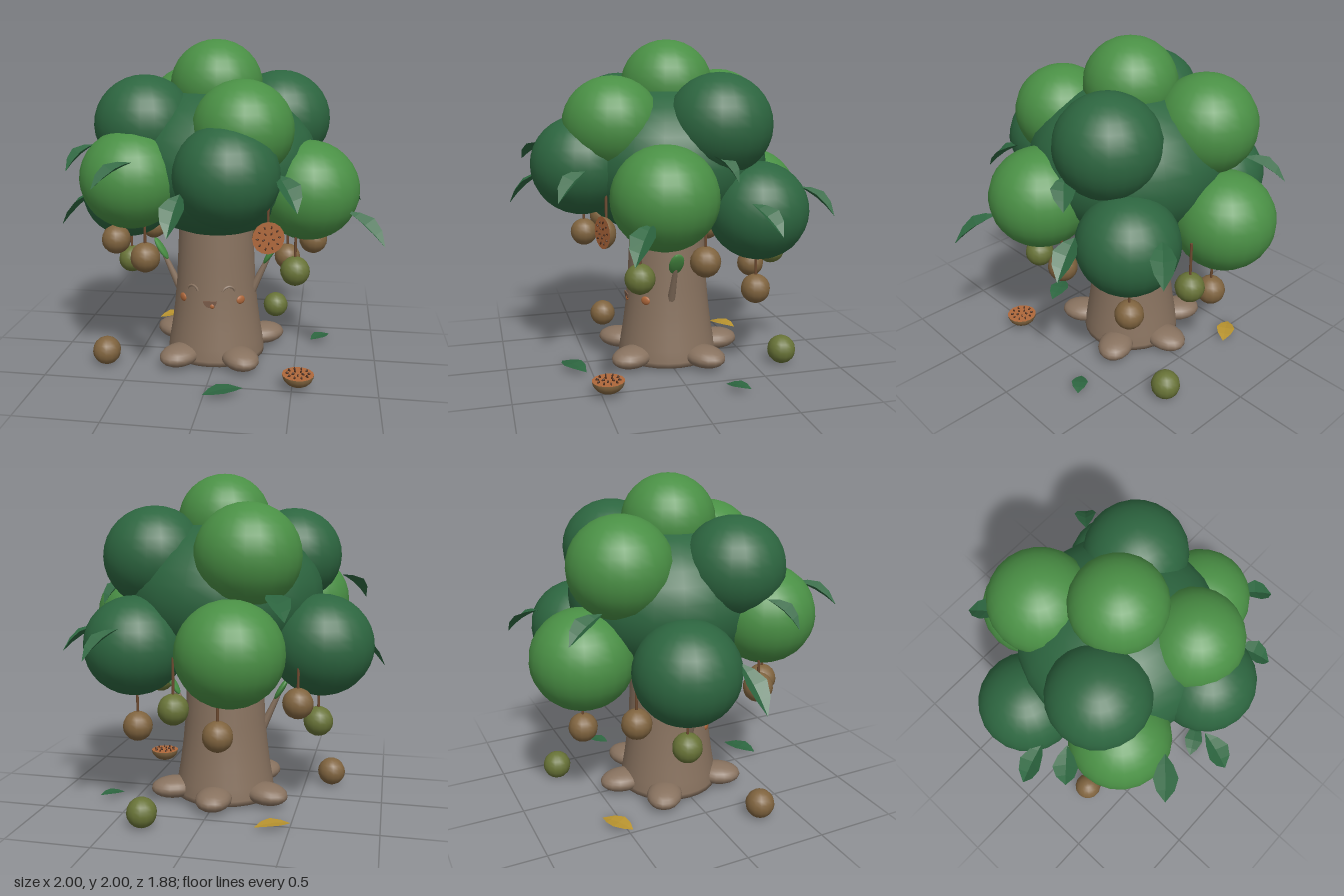
import * as THREE from 'three';

const mat = (name, color, side = THREE.FrontSide) => {
  const m = new THREE.MeshStandardMaterial({ color, side });
  m.name = name;
  return m;
};
const V = (a) => new THREE.Vector3(...a);

export function createModel() {
  const root = new THREE.Group();
  root.name = 'fruitTree';

  const M = {
    dark: mat('darkFoliage', 0x2d6640, THREE.DoubleSide),
    light: mat('lightFoliage', 0x4a9045),
    bark: mat('bark', 0x88725f),
    brown: mat('brownShell', 0x80643f),
    olive: mat('oliveShell', 0x687337),
    flesh: mat('orangeFlesh', 0xaf683b),
    seed: mat('seed', 0x4d2c1a),
    stem: mat('stem', 0x6d4a30),
    yellow: mat('yellowLeaf', 0xb8932f, THREE.DoubleSide),
    mouth: mat('mouth', 0x7a5b49),
  };

  const add = (parent, name, geo, material, pos = [0, 0, 0]) => {
    const mesh = new THREE.Mesh(geo, material);
    mesh.name = name;
    mesh.position.set(...pos);
    parent.add(mesh);
    return mesh;
  };

  // Cylinder running from a to b
  const rod = (parent, name, a, b, r0, r1, material) => {
    const d = V(b).sub(V(a));
    const mesh = add(parent, name, new THREE.CylinderGeometry(r1, r0, d.length(), 8), material,
      V(a).addScaledVector(d, 0.5).toArray());
    mesh.quaternion.setFromUnitVectors(new THREE.Vector3(0, 1, 0), d.normalize());
    return mesh;
  };

  // Trunk
  const cx = -0.02, cz = -0.025;
  const profile = [[0, 0.02], [0.31, 0.02], [0.31, 0.05], [0.3, 0.12], [0.283, 0.22], [0.266, 0.35],
    [0.252, 0.5], [0.242, 0.7], [0.232, 0.92]].map(([r, y]) => new THREE.Vector2(r, y));
  add(root, 'trunk', new THREE.LatheGeometry(profile, 28), M.bark, [cx, 0, cz]);

  // Rounded roots
  for (const deg of [56, 124, 210, 270, 330]) {
    const a = THREE.MathUtils.degToRad(deg);
    const r = add(root, 'rootBump', new THREE.SphereGeometry(1, 16, 12), M.bark,
      [cx + 0.335 * Math.cos(a), 0.075, cz + 0.325 * Math.sin(a)]);
    r.scale.set(0.145, 0.065, 0.11);
    r.rotation.y = -a;
  }

  // Face
  const face = new THREE.Group();
  face.name = 'face';
  root.add(face);
  for (const s of [-1, 1]) {
    const eye = add(face, 'smilingEye', new THREE.TorusGeometry(0.042, 0.008, 6, 14, Math.PI * 0.8),
      M.bark, [cx + s * 0.112, 0.48, 0.207]);
    eye.rotation.set(0, s * 0.45, Math.PI * 0.1);
    const cheek = add(face, 'cheek', new THREE.SphereGeometry(1, 14, 10), M.flesh,
      [cx + s * 0.18, 0.425, 0.158]);
    cheek.scale.set(0.032, 0.027, 0.012);
    cheek.rotation.y = s * 0.78;
  }
  const smile = new THREE.Shape();
  smile.moveTo(0.042, 0);
  smile.absellipse(0, 0, 0.042, 0.042, 0, Math.PI, true);
  smile.closePath();
  add(face, 'mouth', new THREE.ExtrudeGeometry(smile, { depth: 0.008, bevelEnabled: false }),
    M.mouth, [cx, 0.433, 0.235]);
  add(face, 'tongue', new THREE.SphereGeometry(0.016, 10, 8), M.flesh, [-0.006, 0.402, 0.238])
    .scale.z = 0.6;

  // Branch arms, each tipped with a flat sprout
  for (const s of [-1, 1]) {
    const arm = new THREE.Group();
    arm.name = 'branchArm';
    root.add(arm);
    rod(arm, 'branch', [cx + s * 0.235, 0.44, 0.01], [cx + s * 0.335, 0.66, 0.01], 0.026, 0.014, M.bark);
    const sprout = add(arm, 'sprout', new THREE.SphereGeometry(1, 12, 10), M.light,
      [cx + s * 0.35, 0.69, 0.01]);
    sprout.scale.set(0.018, 0.082, 0.046);
    sprout.rotation.z = -s * 0.55;
  }

  // Canopy: [x, y, z, radius, colour]
  const canopy = new THREE.Group();
  canopy.name = 'canopy';
  root.add(canopy);
  const blob = new THREE.SphereGeometry(1, 22, 16);
  add(canopy, 'canopyCore', blob, M.dark, [-0.01, 1.28, -0.02]).scale.set(0.61, 0.47, 0.61);
  [
    [-0.015, 1.73, -0.02, 0.28, 'light'],
    [-0.235, 1.53, -0.42, 0.305, 'light'],
    [0.36, 1.51, -0.235, 0.31, 'dark'],
    [0.19, 1.51, 0.36, 0.29, 'light'],
    [-0.41, 1.51, 0.2, 0.3, 'dark'],
    [-0.63, 1.01, -0.2, 0.305, 'dark'],
    [-0.45, 1.22, 0.39, 0.3, 'light'],
    [0.12, 1.275, 0.53, 0.3, 'dark'],
    [0.555, 1.13, 0.14, 0.305, 'light'],
    [0.42, 1.01, -0.46, 0.298, 'dark'],
    [-0.18, 1.01, -0.64, 0.305, 'light'],
  ].forEach(([x, y, z, r, c]) =>
    add(canopy, 'foliageClump', blob, M[c], [x, y, z]).scale.set(r, r * 0.97, r));

  // Folded leaf from base to tip, spine along the line, edges raised
  const leaf = (name, base, tip, width, material, up = [0, 1, 0], fold = 0.25) => {
    const a = V(base), d = V(tip).sub(a);
    const side = d.clone().cross(V(up)).normalize();
    const n = side.clone().cross(d).normalize();
    const rows = [[0, 0], [0.2, 0.62], [0.45, 1], [0.72, 0.72], [1, 0]].map(([t, w]) => {
      const c = a.clone().addScaledVector(d, t).addScaledVector(n, 0.12 * width * Math.sin(Math.PI * t));
      return [-1, 0, 1].map((s) => c.clone().addScaledVector(side, s * w * width / 2)
        .addScaledVector(n, Math.abs(s) * w * width * fold));
    });
    const pos = [];
    for (let i = 0; i < rows.length - 1; i++) for (let j = 0; j < 2; j++) {
      const [p, q, r, s] = [rows[i][j], rows[i][j + 1], rows[i + 1][j + 1], rows[i + 1][j]];
      for (const v of [p, q, r, p, r, s]) pos.push(v.x, v.y, v.z);
    }
    const g = new THREE.BufferGeometry();
    g.setAttribute('position', new THREE.Float32BufferAttribute(pos, 3));
    g.computeVertexNormals();
    add(root, name, g, material);
  };
  [
    [[-0.39, 1.33, -0.59], [-0.5, 1.21, -0.82]],
    [[0.42, 1.14, -0.72], [0.57, 0.98, -0.88]],
    [[0.68, 1.1, -0.32], [0.89, 0.95, -0.42]],
    [[0.78, 1.04, 0.27], [1, 0.87, 0.41]],
    [[0.58, 1.36, -0.12], [0.69, 1.22, -0.24]],
    [[0.4, 1.29, 0.53], [0.52, 1.12, 0.72]],
    [[-0.1, 1.21, 0.73], [-0.13, 1.02, 0.94]],
    [[-0.375, 1.36, 0.66], [-0.555, 1.24, 0.83]],
    [[-0.71, 1.39, 0.24], [-0.86, 1.24, 0.36]],
    [[-0.755, 1.07, 0.055], [-0.995, 0.845, 0.09]],
  ].forEach(([a, b]) => leaf('canopyLeaf', a, b, 0.14, M.dark));

  // Fallen leaves
  leaf('fallenLeaf', [0, 0.025, 0.66], [0.22, 0.025, 0.54], 0.13, M.dark, [0, 1, 0], 0.04);
  leaf('fallenLeaf', [0.59, 0.025, -0.22], [0.71, 0.03, -0.33], 0.1, M.dark, [0, 1, 0], 0.04);
  leaf('fallenYellowLeaf', [-0.5, 0.02, -0.48], [-0.31, 0.025, -0.6], 0.12, M.yellow, [0, 1, 0], 0.04);

  // Whole fruits: [x, y, z, colour]; the high ones hang on stems
  [
    [-0.585, 0.82, 0.285, 'brown'],
    [-0.53, 0.715, -0.46, 'brown'],
    [-0.365, 0.765, 0.45, 'brown'],
    [-0.62, 0.55, -0.19, 'olive'],
    [0.495, 0.665, 0.27, 'olive'],
    [0.59, 0.765, -0.085, 'brown'],
    [0.41, 0.53, -0.46, 'brown'],
    [-0.11, 0.545, -0.63, 'brown'],
    [0.13, 0.695, -0.67, 'olive'],
    [-0.67, 0.09, 0.28, 'brown'],
    [0.32, 0.09, -0.68, 'olive'],
  ].forEach(([x, y, z, c]) => {
    const hung = y > 0.2;
    add(root, hung ? 'hangingFruit' : 'fallenFruit', new THREE.SphereGeometry(0.088, 14, 10), M[c], [x, y, z]);
    if (hung) rod(root, 'fruitStem', [x, y + 0.07, z], [x, y + 0.29, z], 0.008, 0.008, M.stem);
  });

  // Halved fruit: shell bowl, flesh disc and seeds in two rings
  const halfFruit = (name, pos, seedHeight) => {
    const g = new THREE.Group();
    g.name = name;
    g.position.set(...pos);
    root.add(g);
    add(g, 'shell', new THREE.SphereGeometry(0.094, 16, 6, 0, Math.PI * 2, Math.PI / 2, Math.PI / 2), M.brown)
      .scale.y = 0.8;
    const disc = add(g, 'flesh', new THREE.CircleGeometry(0.094, 16), M.flesh);
    disc.rotation.x = -Math.PI / 2;
    for (const [count, r] of [[5, 0.03], [10, 0.064]]) {
      for (let i = 0; i < count; i++) {
        const a = (i / count) * Math.PI * 2 + r * 9;
        const s = add(g, 'seed', new THREE.SphereGeometry(1, 6, 5), M.seed,
          [r * Math.cos(a), 0.002, r * Math.sin(a)]);
        s.scale.set(0.01, seedHeight, 0.005);
        s.rotation.y = -a;
      }
    }
    return g;
  };
  halfFruit('fallenHalfFruit', [0.535, 0.1, 0.465], 0.012);
  halfFruit('hangingHalfFruit', [0.35, 0.91, 0.455], 0.006).rotation.set(Math.PI / 2, 0, -0.3);
  rod(root, 'fruitStem', [0.345, 0.98, 0.43], [0.345, 1.2, 0.43], 0.008, 0.008, M.stem);

  return root;
}
